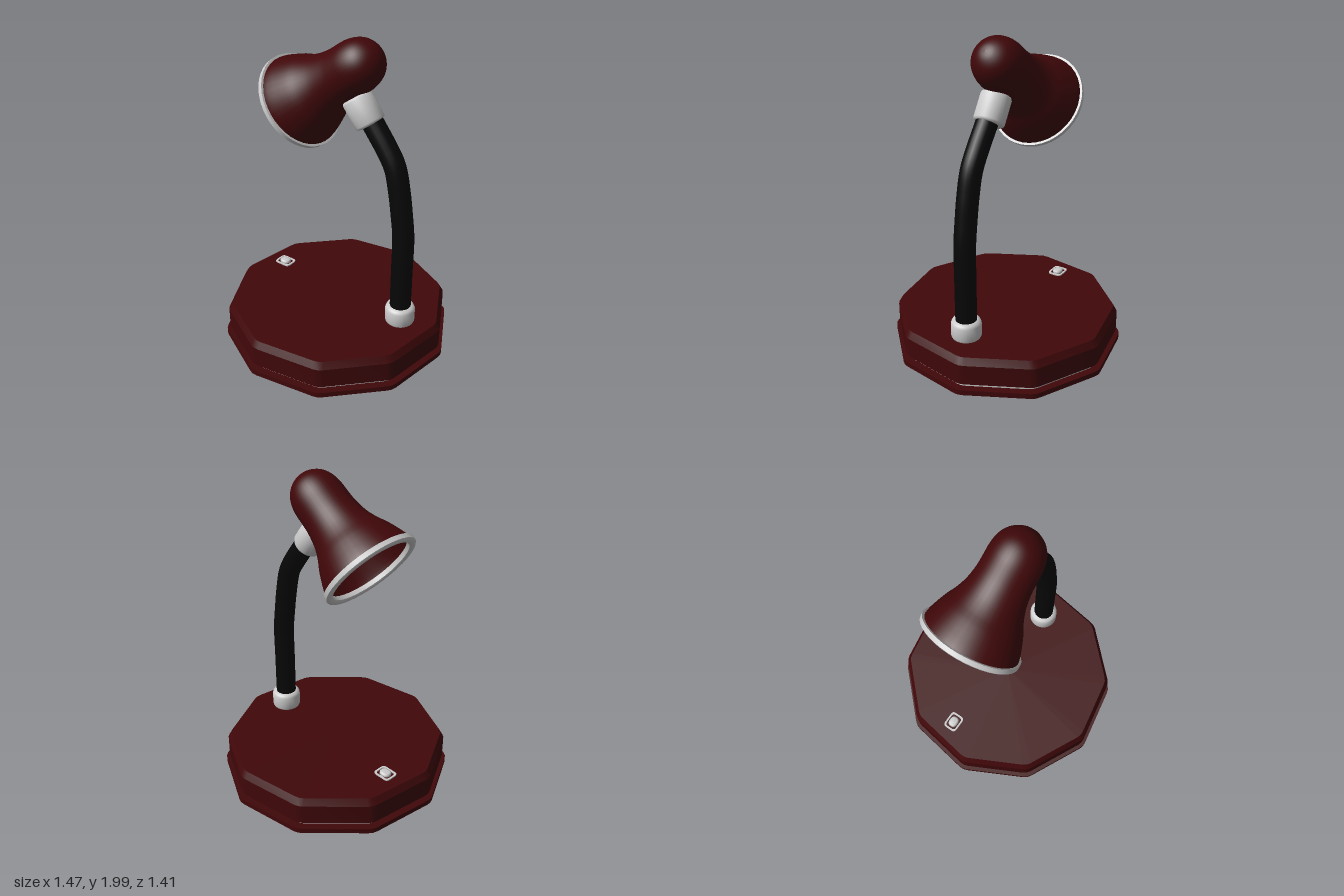
import * as THREE from 'three';
import { toCreasedNormals } from 'three/addons/utils/BufferGeometryUtils.js';

const red = new THREE.MeshStandardMaterial({ color: 0x400709 });
const redShell = new THREE.MeshStandardMaterial({ color: 0x400709, side: THREE.DoubleSide });
const black = new THREE.MeshStandardMaterial({ color: 0x070707 });
const grey = new THREE.MeshStandardMaterial({ color: 0xcccccc });

const V = (x, y, z) => new THREE.Vector3(x, y, z);
const points = (list) => list.map(([r, y]) => new THREE.Vector2(r, y));

function mesh(name, geometry, material, parent) {
  const m = new THREE.Mesh(geometry, material);
  m.name = name;
  parent.add(m);
  return m;
}

// Turned solid from [radius, height] pairs, listed bottom to top
function turned(profile, segments = 32) {
  return toCreasedNormals(new THREE.LatheGeometry(points(profile), segments), 0.85);
}

// Ten-sided slab with softened corners: three columns of vertices per corner
function decagonSlab(profile) {
  const g = new THREE.LatheGeometry(points(profile), 30, Math.PI / 2);
  const p = g.attributes.position;
  const n = profile.length;
  const cut = 0.03;
  for (let i = 0; i < p.count; i++) {
    const column = Math.floor(i / n) + 1;
    const r = profile[i % n][0];
    const a = Math.floor(column / 3) * Math.PI / 5;
    const side = (column % 3) - 1;
    const along = r > 0 ? cut * Math.cos(Math.PI / 10) * side : 0;
    const inset = r > 0 ? cut * Math.sin(Math.PI / 10) * (side ? 1 : 0.5) : 0;
    const out = r - inset;
    // the lathe runs from +x toward -z
    p.setX(i, out * Math.cos(a) - along * Math.sin(a));
    p.setZ(i, -out * Math.sin(a) - along * Math.cos(a));
  }
  return toCreasedNormals(g, 0.4);
}

function roundedRect(w, h, r, Type) {
  const s = new Type();
  const x = w / 2, y = h / 2;
  s.moveTo(-x + r, -y);
  s.lineTo(x - r, -y).quadraticCurveTo(x, -y, x, -y + r);
  s.lineTo(x, y - r).quadraticCurveTo(x, y, x - r, y);
  s.lineTo(-x + r, y).quadraticCurveTo(-x, y, -x, y - r);
  s.lineTo(-x, -y + r).quadraticCurveTo(-x, -y, -x + r, -y);
  return s;
}

// Solid collar with rounded edges, centred on its height
function collar(r, h, b) {
  return turned([
    [0, -h / 2], [r - b, -h / 2], [r - b * 0.3, -h / 2 + b * 0.3], [r, -h / 2 + b],
    [r, h / 2 - b], [r - b * 0.3, h / 2 - b * 0.3], [r - b, h / 2], [0, h / 2],
  ]);
}

function aim(object, direction) {
  object.quaternion.setFromUnitVectors(V(0, 1, 0), direction.clone().normalize());
}

export function createModel() {
  const lamp = new THREE.Group();
  lamp.name = 'deskLamp';

  // Base: foot plate, pale seam and chamfered body
  const base = new THREE.Group();
  base.name = 'base';
  lamp.add(base);
  mesh('footPlate', decagonSlab([[0, 0], [0.741, 0], [0.741, 0.033], [0, 0.033]]), red, base);
  mesh('baseSeam', decagonSlab([[0, 0.03], [0.692, 0.03], [0.692, 0.066], [0, 0.066]]), grey, base);
  mesh('baseBody', decagonSlab([[0, 0.062], [0.72, 0.062], [0.72, 0.19], [0.695, 0.233], [0, 0.233]]), red, base);

  // Switch: thin frame around a rounded button
  const lampSwitch = new THREE.Group();
  lampSwitch.name = 'switch';
  lampSwitch.position.set(-0.504, 0.233, -0.173);
  lampSwitch.rotation.y = -0.17;
  lamp.add(lampSwitch);
  const frameShape = roundedRect(0.118, 0.096, 0.025, THREE.Shape);
  frameShape.holes.push(roundedRect(0.094, 0.074, 0.02, THREE.Path));
  const frame = new THREE.ExtrudeGeometry(frameShape, { depth: 0.008, bevelEnabled: false, curveSegments: 4 });
  mesh('switchFrame', frame.rotateX(-Math.PI / 2), grey, lampSwitch);
  const button = new THREE.ExtrudeGeometry(roundedRect(0.056, 0.042, 0.02, THREE.Shape), {
    depth: 0.012, bevelThickness: 0.008, bevelSize: 0.008, bevelSegments: 2, curveSegments: 4,
  });
  mesh('switchButton', toCreasedNormals(button.rotateX(-Math.PI / 2), 0.85), grey, lampSwitch);

  // Bendable neck between two collars
  mesh('lowerCollar', collar(0.093, 0.13, 0.025), grey, lamp).position.set(0.473, 0.285, 0.063);
  const neckPath = new THREE.CatmullRomCurve3([
    V(0.473, 0.28, 0.063), V(0.473, 0.6, 0.063), V(0.472, 0.84, 0.062), V(0.454, 0.99, 0.059),
    V(0.432, 1.13, 0.055), V(0.395, 1.28, 0.047), V(0.328, 1.39, 0.036), V(0.245, 1.503, 0.023),
    V(0.19, 1.58, 0.014),
  ]);
  mesh('neck', new THREE.TubeGeometry(neckPath, 40, 0.066, 20), black, lamp);
  const upperCollar = mesh('upperCollar', collar(0.093, 0.18, 0.016), grey, lamp);
  upperCollar.position.set(0.174, 1.577, 0.014);
  aim(upperCollar, V(-0.57, 0.81, -0.05));

  // Shade: bell-shaped shell with a pale rim, built upright and tilted
  const head = new THREE.Group();
  head.name = 'head';
  head.position.set(-0.297, 1.517, -0.08);
  aim(head, V(0.559, 0.415, 0.1));
  lamp.add(head);
  const bell = new THREE.SplineCurve(points([
    [0.29, 0], [0.28, 0.05], [0.24, 0.155], [0.205, 0.225], [0.179, 0.3], [0.164, 0.39], [0.161, 0.46],
    [0.159, 0.53], [0.146, 0.59], [0.122, 0.636], [0.086, 0.67], [0.042, 0.692], [0, 0.698],
  ])).getPoints(36);
  mesh('shade', new THREE.LatheGeometry(bell, 40), redShell, head);
  mesh('shadeRim', turned([
    [0.258, 0.018], [0.258, -0.01], [0.266, -0.017], [0.294, -0.017],
    [0.302, -0.01], [0.302, 0.018], [0.258, 0.018],
  ], 40), grey, head);

  return lamp;
}
